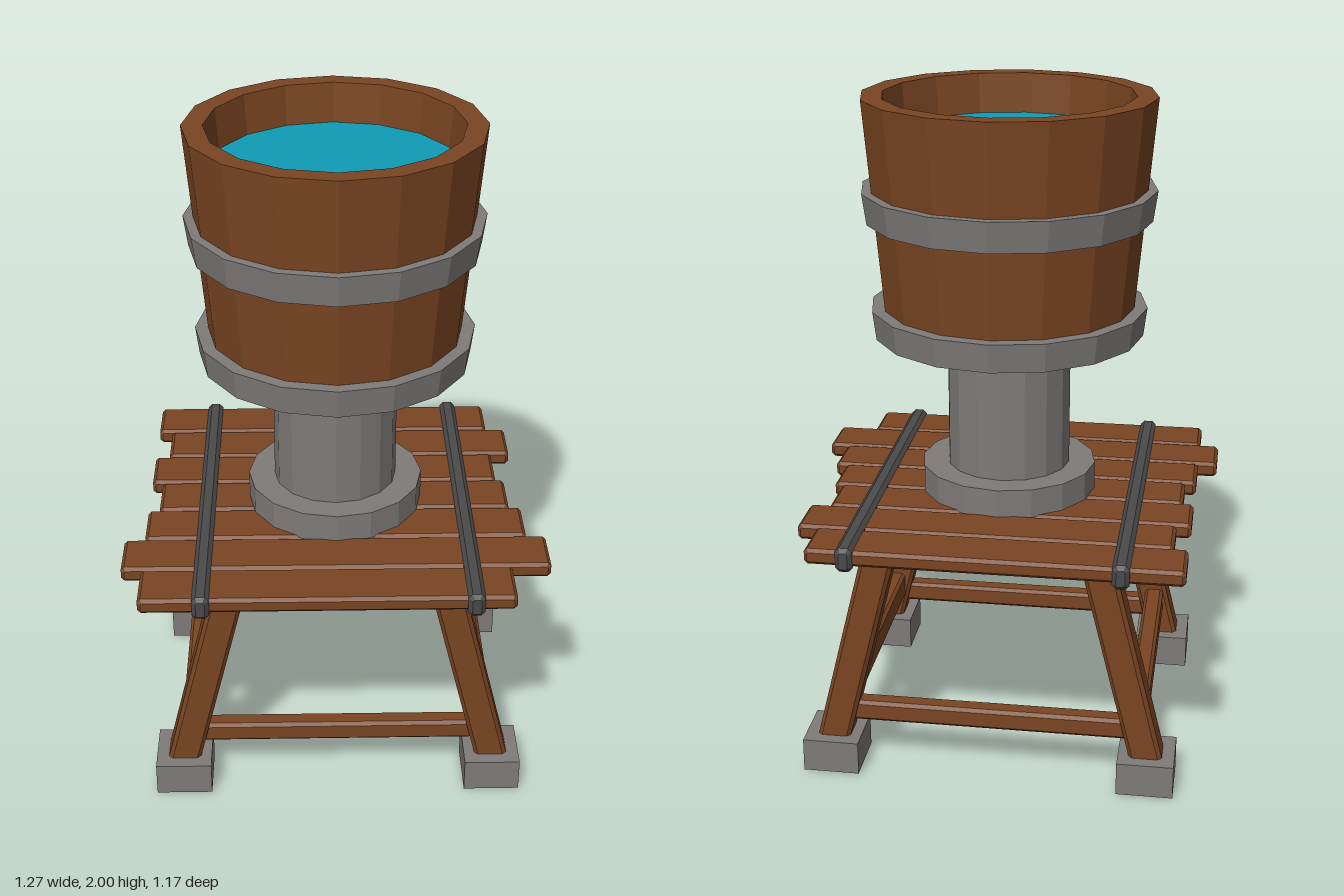
import * as THREE from 'three';

const flat = (name, color) => {
  const m = new THREE.MeshStandardMaterial({ color });
  m.name = name;
  return m;
};

// Box with every edge chamfered by c, centred on the origin
function chamferBox(w, h, d, c) {
  const x = w / 2, y = h / 2;
  const shape = new THREE.Shape([
    [x - c, -y], [x, -y + c], [x, y - c], [x - c, y],
    [-x + c, y], [-x, y - c], [-x, -y + c], [-x + c, -y],
  ].map(([a, b]) => new THREE.Vector2(a, b)));
  const geo = new THREE.ExtrudeGeometry(shape, {
    depth: d - 2 * c, bevelEnabled: true, bevelSegments: 1,
    bevelThickness: c, bevelSize: c, bevelOffset: -c,
  });
  return geo.translate(0, 0, -d / 2 + c);
}

// Sixteen-sided turned part with flat facets, profile as [radius, y] pairs
function turned(profile) {
  const geo = new THREE.LatheGeometry(profile.map(([r, y]) => new THREE.Vector2(r, y)), 16).toNonIndexed();
  geo.computeVertexNormals();
  return geo;
}

export function createModel() {
  const wood = flat('wood', 0x7a4522);
  const stone = flat('grey', 0x7e7b79);
  const iron = flat('darkIron', 0x4a4a4a);
  const water = flat('water', 0x0f9db5);

  const model = new THREE.Group();
  model.name = 'waterBucketStand';
  const add = (name, geo, mat, x = 0, y = 0, z = 0) => {
    const mesh = new THREE.Mesh(geo, mat);
    mesh.name = name;
    mesh.position.set(x, y, z);
    model.add(mesh);
    return mesh;
  };

  // Table planks from back to front, with uneven ends
  const ends = [[-0.58, 0.515], [-0.537, 0.575], [-0.58, 0.515], [-0.547, 0.54],
    [-0.58, 0.575], [-0.64, 0.632], [-0.58, 0.515]];
  ends.forEach(([a, b], i) =>
    add('plank', chamferBox(b - a, 0.048, 0.16, 0.01), wood, (a + b) / 2, 0.761, (i - 3) * 0.1635));

  // Straps around the planks
  for (const x of [-0.398, 0.396]) add('strap', chamferBox(0.05, 0.074, 1.17, 0.012), iron, x, 0.76, 0);

  // Splayed legs in square feet
  for (const sx of [-1, 1]) for (const sz of [-1, 1]) {
    const leg = chamferBox(0.1, 0.745, 0.1, 0.012).translate(0, 0.3725, 0);
    const p = leg.attributes.position;
    for (let i = 0; i < p.count; i++) p.setX(i, p.getX(i) + sx * (0.502 - 0.247 * p.getY(i)));
    leg.computeVertexNormals();
    add('leg', leg, wood, 0, 0, sz * 0.408);
    add('foot', new THREE.BoxGeometry(0.17, 0.104, 0.178), stone, sx * 0.478, 0.056, sz * 0.408);
  }

  // Stretchers between the legs
  for (const s of [-1, 1]) {
    add('crossStretcher', chamferBox(0.88, 0.065, 0.06, 0.01), wood, 0, 0.188, s * 0.408);
    add('sideStretcher', chamferBox(0.06, 0.087, 0.78, 0.01), wood, s * 0.447, 0.224, 0);
  }

  // Pedestal
  add('pedestalBase', turned([[0, 0.78], [0.268, 0.78], [0.268, 0.87], [0, 0.87]]), stone);
  add('pedestalColumn', turned([[0.188, 0.86], [0.188, 1.33]]), stone);

  // Bucket with its hollow rim
  add('bucket', turned([[0, 1.315], [0.373, 1.315], [0.434, 2], [0.372, 2], [0.359, 1.86]]), wood);
  add('waterSurface', turned([[0.361, 1.88], [0, 1.88]]), water);

  // Hoops, closed rings around the bucket
  const hoop = (name, y0, y1, r0, r1, inner0, inner1) =>
    add(name, turned([[inner0, y0], [r0, y0], [r1, y1], [inner1, y1], [inner0, y0]]), stone);
  hoop('lowerHoop', 1.287, 1.374, 0.406, 0.417, 0.371, 0.375);
  hoop('upperHoop', 1.638, 1.73, 0.426, 0.439, 0.39, 0.4);

  return model;
}
